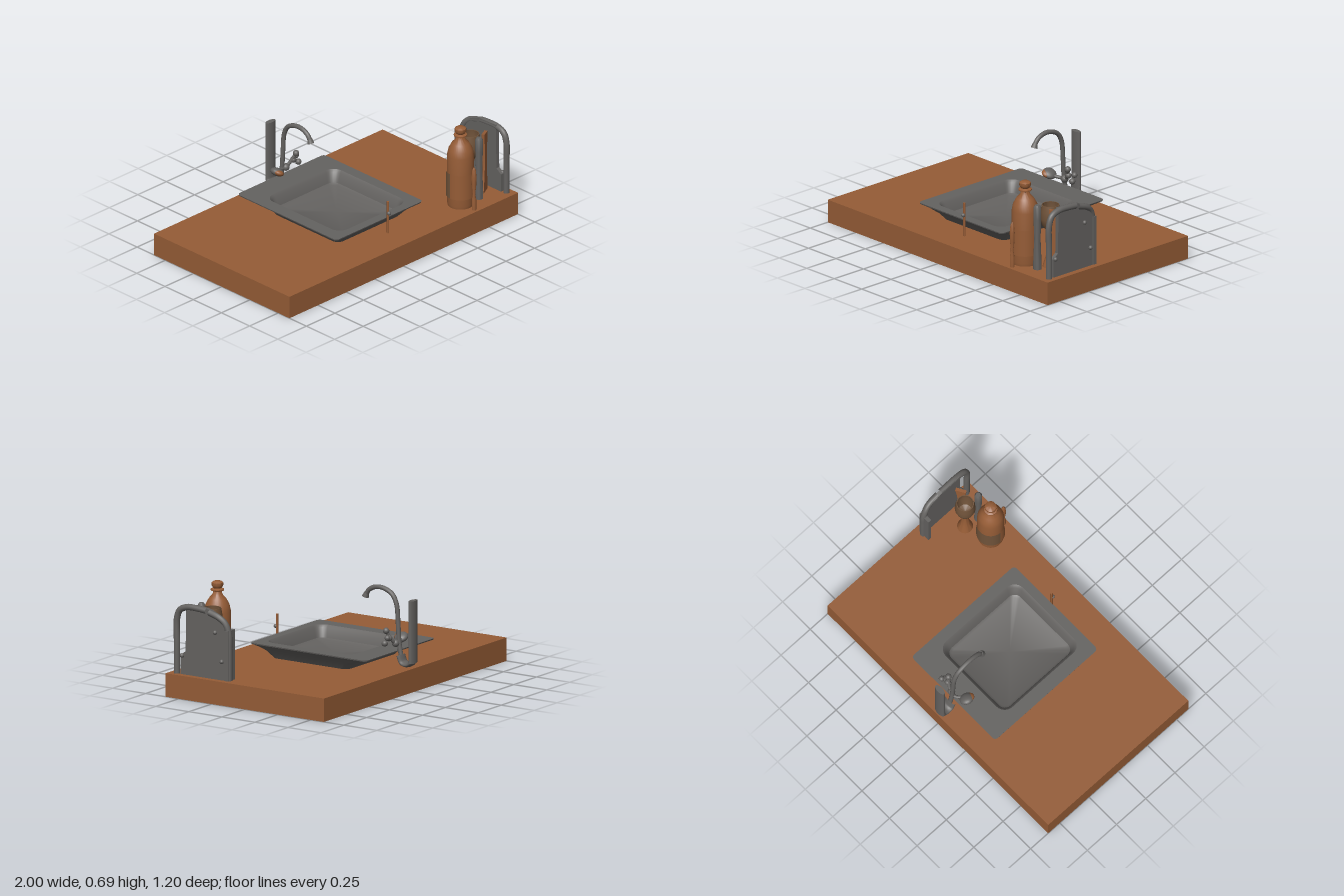
import * as THREE from 'three';
import { toCreasedNormals } from 'three/addons/utils/BufferGeometryUtils.js';

const mat = (name, color) => new THREE.MeshStandardMaterial({ name, color });

// Loft of rounded rectangles: each section is [cx, cz, halfX, halfZ, cornerRadius, y]
function loftRects(sections, steps = 6) {
  const pos = [], idx = [], n = 4 * (steps + 1);
  for (const [cx, cz, hx, hz, r, y] of sections) {
    for (let q = 0; q < 4; q++) {
      const sx = q === 0 || q === 3 ? 1 : -1, sz = q < 2 ? 1 : -1;
      for (let k = 0; k <= steps; k++) {
        const a = (q + k / steps) * Math.PI / 2;
        pos.push(cx + sx * (hx - r) + r * Math.cos(a), y, cz + sz * (hz - r) + r * Math.sin(a));
      }
    }
  }
  for (let i = 0; i < sections.length - 1; i++) {
    for (let j = 0; j < n; j++) {
      const a = i * n + j, b = i * n + (j + 1) % n;
      idx.push(a, a + n, b, b, a + n, b + n);
    }
  }
  const g = new THREE.BufferGeometry();
  g.setAttribute('position', new THREE.Float32BufferAttribute(pos, 3));
  g.setIndex(idx);
  return toCreasedNormals(g, 0.6);
}

const lathe = (pts, seg = 32) =>
  toCreasedNormals(new THREE.LatheGeometry(pts.map(p => new THREE.Vector2(...p)), seg), 0.7);

const tube = (pts, r, seg = 48) =>
  new THREE.TubeGeometry(new THREE.CatmullRomCurve3(pts.map(p => new THREE.Vector3(...p))), seg, r, 12);

export function createModel() {
  const group = new THREE.Group();
  const wood = mat('wood brown', 0x955c36);
  const steel = mat('steel grey', 0x646260);
  const label = mat('label brown', 0x70533a);
  const add = (name, geo, material, x = 0, y = 0, z = 0, parent = group) => {
    const m = new THREE.Mesh(geo, material);
    m.name = name;
    m.position.set(x, y, z);
    parent.add(m);
    return m;
  };

  add('countertop', new THREE.BoxGeometry(2, 0.15, 1.2), wood, 0, 0.075, 0);

  // Sink: underside, wide rim, basin walls and floor in one loft
  add('sink', loftRects([
    [0, 0.01, 0.28, 0.29, 0.05, 0.15],
    [0, 0.01, 0.31, 0.33, 0.06, 0.195],
    [-0.01, -0.03, 0.35, 0.4, 0.04, 0.225],
    [-0.012, -0.04, 0.378, 0.438, 0.025, 0.242],
    [-0.012, -0.04, 0.38, 0.44, 0.025, 0.25],
    [-0.005, 0.01, 0.3, 0.33, 0.07, 0.25],
    [-0.005, 0.01, 0.285, 0.315, 0.06, 0.235],
    [-0.005, 0.01, 0.265, 0.295, 0.05, 0.175],
    [-0.005, 0.01, 0.25, 0.28, 0.04, 0.165],
    [-0.005, 0.01, 0, 0, 0, 0.165],
  ]), steel);

  // Faucet: back post, curved foot, gooseneck and spout
  const faucet = new THREE.Group();
  faucet.name = 'faucet';
  group.add(faucet);
  const post = add('faucetPost', new THREE.CylinderGeometry(0.04, 0.04, 0.4, 24), steel, 0, 0.38, -0.582, faucet);
  post.scale.z = 0.45;
  const foot = add('faucetFoot', tube([[0, 0.22, -0.582], [0, 0.18, -0.575], [0, 0.165, -0.545],
    [0, 0.175, -0.51], [0, 0.22, -0.49]], 0.016, 24), steel, 0, 0, 0, faucet);
  foot.scale.x = 2.6;
  add('faucetNeck', tube([[0, 0.2, -0.495], [0, 0.3, -0.478], [0, 0.42, -0.47], [0, 0.54, -0.458],
    [0, 0.6, -0.425], [0, 0.63, -0.36], [0, 0.63, -0.3], [0, 0.605, -0.25], [0, 0.575, -0.23]],
    0.015), steel, 0, 0, 0, faucet);
  const spout = add('spoutTip', new THREE.CylinderGeometry(0.015, 0.022, 0.03, 16), steel, 0, 0.572, -0.228, faucet);
  spout.rotation.x = -0.35;

  // Tap handles: a leaf lever on one side, a cluster of knobs on the other
  const leaf = add('leverHandle', new THREE.SphereGeometry(1, 20, 14), steel, -0.085, 0.31, -0.435, faucet);
  leaf.scale.set(0.045, 0.026, 0.045);
  leaf.rotation.z = -0.5;
  const leafFace = add('leverFace', new THREE.SphereGeometry(1, 20, 14), wood, -0.09, 0.312, -0.425, faucet);
  leafFace.scale.set(0.036, 0.021, 0.042);
  leafFace.rotation.z = -0.5;
  add('leverArm', tube([[-0.06, 0.3, -0.44], [-0.02, 0.29, -0.47], [0.03, 0.3, -0.465],
    [0.06, 0.34, -0.45], [0.08, 0.38, -0.435]], 0.011, 24), steel, 0, 0, 0, faucet);
  for (const [x, y, z, r] of [[0.08, 0.382, -0.435, 0.02], [0.07, 0.335, -0.45, 0.02],
    [0.11, 0.345, -0.465, 0.018], [0.11, 0.308, -0.445, 0.02], [0.02, 0.295, -0.465, 0.024]])
    add('tapKnob', new THREE.SphereGeometry(r, 16, 12), steel, x, y, z, faucet);

  // Thin stick standing in front of the sink
  add('frontStick', new THREE.CylinderGeometry(0.008, 0.008, 0.22, 10), wood, 0.045, 0.26, 0.415);
  add('frontStickKnob', new THREE.SphereGeometry(0.013, 12, 10), steel, 0.045, 0.29, 0.425);

  // Bottle with wrap label, collar and cap
  add('bottle', lathe([[0, 0.15], [0.08, 0.15], [0.084, 0.17], [0.084, 0.5], [0.076, 0.54], [0.055, 0.58],
    [0.032, 0.605], [0.026, 0.625], [0.042, 0.632], [0.042, 0.64], [0.026, 0.647], [0.03, 0.652],
    [0.037, 0.665], [0.036, 0.682], [0.025, 0.69], [0, 0.692]]), wood, 0.64, 0, 0.455);
  // front half of the wrap is wood, back half is label
  const half = start => new THREE.CylinderGeometry(0.091, 0.091, 0.17, 24, 1, true, start, Math.PI);
  add('bottleWrapFront', half(-Math.PI / 2), wood, 0.64, 0.305, 0.455);
  add('bottleWrapBack', half(Math.PI / 2), label, 0.64, 0.305, 0.455);

  // Small brush standing in front of the bottle
  add('smallBrush', lathe([[0, 0.15], [0.014, 0.15], [0.014, 0.22], [0.008, 0.26], [0.014, 0.32],
    [0.016, 0.38], [0.011, 0.43], [0, 0.45]], 16), wood, 0.645, 0, 0.57);

  // Goblet: dark cup on a flared wooden stem
  add('gobletCup', lathe([[0, 0.39], [0.03, 0.395], [0.055, 0.425], [0.065, 0.47], [0.062, 0.52],
    [0.055, 0.56], [0.05, 0.56], [0.056, 0.5], [0.04, 0.43], [0, 0.41]]), label, 0.797, 0, 0.385);
  add('gobletStem', lathe([[0, 0.15], [0.05, 0.15], [0.045, 0.17], [0.03, 0.22], [0.02, 0.3],
    [0.02, 0.36], [0.032, 0.4]]), wood, 0.797, 0, 0.385);

  // Slim dark rod and waisted wooden scoop
  add('slimRod', lathe([[0, 0.15], [0.026, 0.15], [0.026, 0.2], [0.02, 0.35], [0.024, 0.48],
    [0.024, 0.56], [0.015, 0.575], [0, 0.575]], 18), steel, 0.778, 0, 0.48);
  const s = new THREE.Shape();
  s.moveTo(-0.05, 0.15);
  s.lineTo(0.04, 0.15);
  s.bezierCurveTo(0.02, 0.3, 0.015, 0.4, 0.04, 0.55);
  s.lineTo(-0.03, 0.555);
  s.bezierCurveTo(-0.015, 0.4, -0.015, 0.3, -0.05, 0.15);
  const scoop = add('woodenScoop',
    new THREE.ExtrudeGeometry(s, { depth: 0.02, bevelEnabled: false }), wood, 0.87, 0, 0.42);
  scoop.rotation.y = 0.5;

  // Upright board: panel outlined in (-z, y), with a tubular frame at both edges
  const p = new THREE.Shape();
  p.moveTo(-0.515, 0.15);
  p.lineTo(-0.18, 0.15);
  p.lineTo(-0.18, 0.5);
  p.quadraticCurveTo(-0.2, 0.56, -0.32, 0.595);
  p.lineTo(-0.47, 0.6);
  p.lineTo(-0.475, 0.3);
  p.lineTo(-0.515, 0.27);
  const panel = add('boardPanel', new THREE.ExtrudeGeometry(p, { depth: 0.025, bevelEnabled: false }), steel, 0.935, 0, 0);
  panel.rotation.y = Math.PI / 2;
  add('boardFrameFront', tube([[0.953, 0.15, 0.545], [0.953, 0.35, 0.545], [0.953, 0.5, 0.545],
    [0.953, 0.56, 0.52], [0.953, 0.583, 0.46], [0.953, 0.583, 0.38], [0.953, 0.578, 0.32]], 0.02),
    steel);
  add('boardFrameBack', tube([[0.94, 0.15, 0.16], [0.94, 0.35, 0.16], [0.94, 0.45, 0.163],
    [0.945, 0.51, 0.185], [0.953, 0.545, 0.225], [0.953, 0.57, 0.3]], 0.02), steel);
  add('boardBackPost', new THREE.BoxGeometry(0.08, 0.32, 0.025), steel, 0.925, 0.31, 0.165);
  for (const [y, z] of [[0.45, 0.25], [0.27, 0.5], [0.27, 0.2]])
    add('boardKnob', new THREE.SphereGeometry(0.014, 14, 10), steel, 0.963, y, z);

  return group;
}
